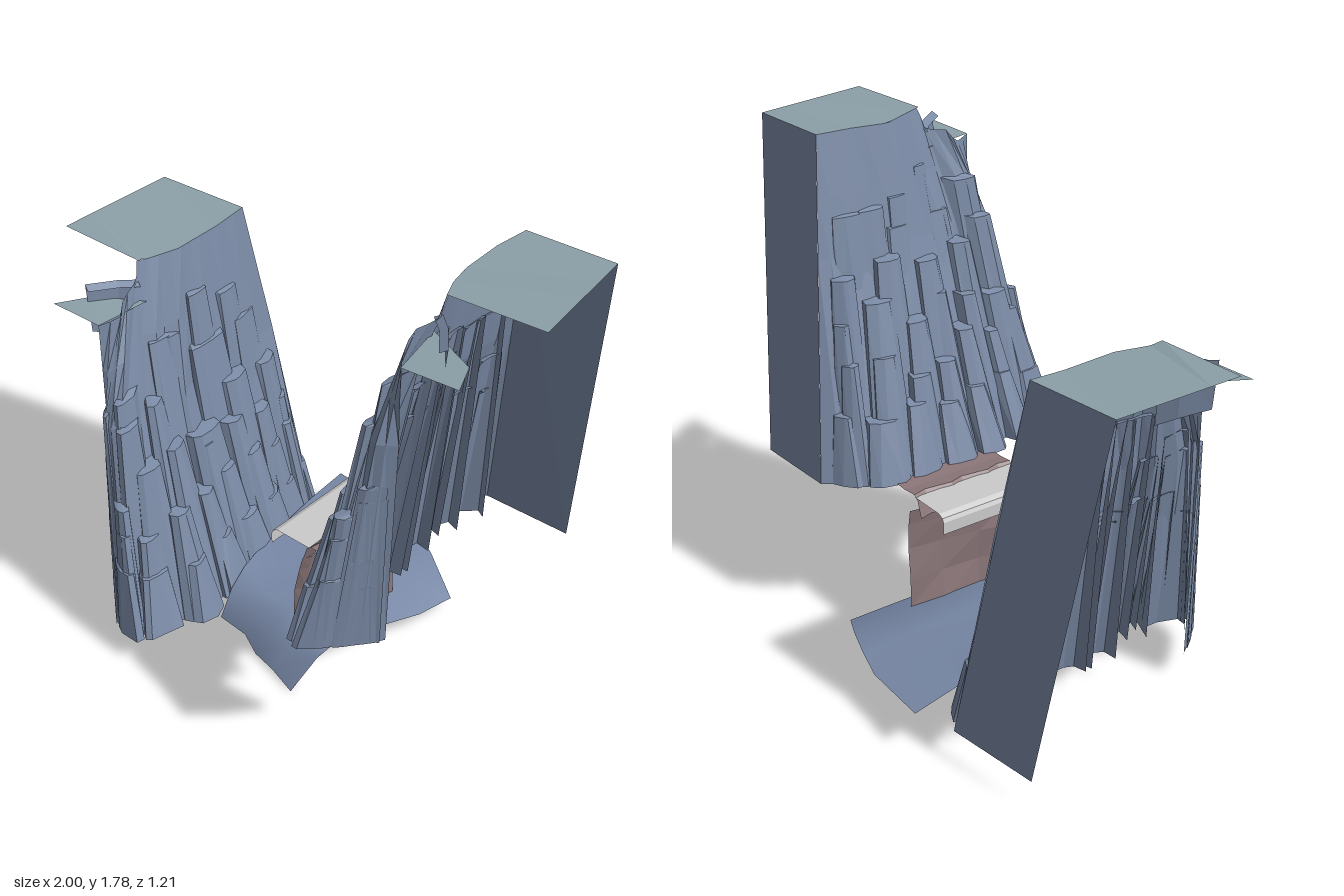
import * as THREE from 'three';

const material = (color) => new THREE.MeshStandardMaterial({ color, side: THREE.DoubleSide, flatShading: true });
const V = (x, y, z) => new THREE.Vector3(x, y, z);
const mix = (a, b, t) => a.clone().lerp(b, t);

const rock = material(0x7b8ba6), turf = material(0x8ca0a8), earth = material(0x8c777a), grey = material(0xcccccc);
const smoothRock = material(0x7686a4);
smoothRock.flatShading = false;

function seeded(seed) {
  return () => {
    seed = (seed * 16807) % 2147483647;
    return seed / 2147483647;
  };
}

// Open sheet through rows of points, all rows of equal length
function sheet(name, rows, mat, parent) {
  const n = rows[0].length, index = [];
  for (let r = 0; r < rows.length - 1; r++) {
    for (let c = 0; c < n - 1; c++) {
      const a = r * n + c;
      index.push(a, a + 1, a + n, a + 1, a + n + 1, a + n);
    }
  }
  const g = new THREE.BufferGeometry().setFromPoints(rows.flat());
  g.setIndex(index);
  g.computeVertexNormals();
  const mesh = new THREE.Mesh(g, mat);
  mesh.name = name;
  parent.add(mesh);
}

// One cliff: eroded rock face, stepped columns, plain end panel, top and ledge
function cliff(name, side, p) {
  const group = new THREE.Group();
  group.name = name;
  const rand = seeded(p.seed);
  const P = (x, y, z) => V(side * x, y, z);
  const curve = (pts) => new THREE.CatmullRomCurve3(pts.map((q) => P(...q)), false, 'centripetal');
  const foot = curve(p.foot.map(([x, z]) => [x, p.y0, z]));
  const shoulder = curve(p.shoulder.map(([x, z]) => [x, p.y1, z]));
  const rim = new THREE.CurvePath();
  for (let i = 1; i < p.rim.length; i++) rim.add(new THREE.LineCurve3(P(...p.rim[i - 1]), P(...p.rim[i])));

  // Point on the slope: t = 0 foot, 1 shoulder, 2 rim
  const slope = (u, t) => t < 1
    ? mix(foot.getPoint(u), shoulder.getPoint(u), t)
    : mix(shoulder.getPoint(u), rim.getPoint(u), t - 1);
  const atHeight = (v, y) => V(v.x, y, v.z);

  // Back wall of the face
  const N = 18, rows = [[], [], [], []];
  for (let i = 0; i <= N; i++) {
    const u = i / N, inner = Math.sqrt(Math.abs(Math.sin(Math.PI * u)));
    const bump = side * (rand() - 0.5) * 0.04 * inner;
    rows[0].push(atHeight(slope(u, 0.3 * inner), p.y0));
    rows[1].push(slope(u, 1));
    rows[2].push(slope(u, 1.5));
    rows[3].push(rim.getPoint(u));
    rows[1][i].x += bump;
    rows[2][i].x += bump * 0.6;
  }
  sheet('rockWall', rows, rock, group);

  // Leaning columns in tiers: [count, inset of foot, height, u start, u end]
  const tiers = [[9, 0, 0.3, 0.01, 0.99], [9, 0.07, 0.52, 0.04, 0.98], [8, 0.16, 0.76, 0.02, 0.99],
    [6, 0.26, 0.98, 0.02, 1], [4, 0.42, 1.35, 0.04, 0.85], [3, 0.55, 1.72, 0.14, 0.55]];
  for (const [count, inset, height, ua, ub] of tiers) {
    for (let i = 0; i < count; i++) {
      const step = (ub - ua) / count;
      const u0 = ua + step * (i + 0.2 * rand());
      const u1 = ua + step * (i + 1 - 0.2 * rand());
      const h = height * (0.8 + 0.32 * rand());
      const push = inset + (rand() - 0.5) * 0.08;
      const y = slope(0.5, Math.min(h, 1)).y + Math.max(0, h - 1) * (p.top - p.y1) * 0.85;
      const pinch = step * 0.12;
      const ring = (yy, front, back, d) => [
        [u0 + d * 0.5, back], [u0 + d, front + 0.05], [u0 + d + step * 0.25, front],
        [u1 - d - step * 0.15, front], [u1 - d, front + 0.06], [u1 - d * 0.5, back],
      ].map(([u, t]) => atHeight(slope(Math.min(u, 1), Math.max(0, t)), yy));
      const topFront = h * 0.86, topBack = Math.min(1.9, h + 0.14);
      const low = ring(p.y0, push, push + 0.25, 0);
      const high = ring(y, topFront, topBack, pinch);
      const cap = ring(y + 0.012, topBack, topBack, pinch);
      sheet('rockColumn', [low, high, cap], rock, group);
    }
  }

  // Plain end panel, roof, ledge and the notch wall between them
  const [a, b, c, d] = p.panel;
  sheet('endPanel', [[P(...a), P(...b)], [P(...d), P(...c)]], rock, group);
  const inner = [0, 1, 2, 3, 4].map((i) => P(...p.rim[i]));
  const outer = inner.map((_, i) => mix(P(...c), P(...p.roofCorner), i / 4));
  sheet('roof', [inner, outer], turf, group);
  sheet('ledge', [[P(...p.ledge[0]), P(...p.ledge[1])], [P(...p.ledge[3]), P(...p.ledge[2])]], turf, group);
  const notch = p.notch.map(([x, z]) => P(x, p.notchTop, z));
  const notchFoot = notch.map((v, i) => V(v.x - side * 0.02, v.y - 0.24 + i * 0.03, v.z));
  const notchLip = notch.map((v) => V(v.x - side * 0.025, v.y - 0.015, v.z + 0.01));
  sheet('notchWall', [notchFoot, notch, notchLip], rock, group);
  return group;
}

export function createModel() {
  const model = new THREE.Group();
  model.name = 'gorge';

  // Tall cliff
  model.add(cliff('tallCliff', 1, {
    seed: 71, y0: 0.58, y1: 1.36, top: 1.78,
    foot: [[0.43, -0.43], [0.3, -0.32], [0.25, -0.17], [0.26, 0], [0.25, 0.15], [0.265, 0.3], [0.34, 0.46],
      [0.42, 0.61], [0.53, 0.53], [0.64, 0.38]],
    shoulder: [[0.55, -0.33], [0.53, -0.24], [0.52, -0.1], [0.53, 0], [0.55, 0.1], [0.56, 0.2], [0.54, 0.28],
      [0.55, 0.37], [0.61, 0.42], [0.67, 0.38]],
    rim: [[0.61, 1.78, -0.28], [0.6, 1.78, -0.15], [0.6, 1.77, 0], [0.63, 1.78, 0.1], [0.66, 1.78, 0.17],
      [0.65, 1.7, 0.18], [0.62, 1.69, 0.27], [0.61, 1.64, 0.29], [0.67, 1.64, 0.385]],
    panel: [[0.43, 0.58, -0.43], [0.76, 0.58, -0.44], [0.93, 1.78, -0.3], [0.61, 1.78, -0.28]],
    roofCorner: [0.995, 1.78, 0.14],
    ledge: [[0.62, 1.64, 0.17], [0.82, 1.645, 0.26], [0.87, 1.645, 0.37], [0.67, 1.64, 0.385]],
    notch: [[0.65, 0.17], [0.71, 0.22], [0.78, 0.31]], notchTop: 1.71,
  }));

  // Low cliff
  model.add(cliff('lowCliff', -1, {
    seed: 433, y0: 0.1, y1: 0.86, top: 1.37,
    foot: [[0.49, -0.52], [0.36, -0.43], [0.34, -0.3], [0.28, -0.18], [0.27, -0.03], [0.25, 0.1], [0.21, 0.3],
      [0.29, 0.44], [0.33, 0.57], [0.46, 0.55], [0.6, 0.38]],
    shoulder: [[0.58, -0.42], [0.56, -0.3], [0.54, -0.2], [0.53, -0.05], [0.53, 0.1], [0.54, 0.2], [0.53, 0.3],
      [0.53, 0.41], [0.58, 0.43], [0.62, 0.38]],
    rim: [[0.64, 1.37, -0.34], [0.63, 1.36, -0.2], [0.62, 1.36, 0], [0.65, 1.36, 0.12], [0.66, 1.37, 0.16],
      [0.65, 1.3, 0.17], [0.62, 1.28, 0.27], [0.6, 1.23, 0.3], [0.62, 1.23, 0.385]],
    panel: [[0.49, 0.1, -0.52], [0.85, 0.1, -0.48], [1, 1.375, -0.31], [0.64, 1.37, -0.34]],
    roofCorner: [1, 1.375, 0.17],
    ledge: [[0.61, 1.23, 0.17], [0.76, 1.235, 0.27], [0.83, 1.235, 0.395], [0.62, 1.23, 0.385]],
    notch: [[0.65, 0.17], [0.7, 0.22], [0.76, 0.31]], notchTop: 1.3,
  }));

  // Valley floor, rows from back to front
  sheet('valleyFloor', [
    [[-0.4, 0.155, -0.61], [-0.13, 0.15, -0.59], [0, 0.15, -0.55], [0.15, 0.13, -0.49], [0.32, 0.06, -0.4]],
    [[-0.37, 0.17, -0.4], [-0.14, 0.15, -0.38], [0, 0.155, -0.35], [0.14, 0.14, -0.31], [0.3, 0.075, -0.24]],
    [[-0.32, 0.18, -0.1], [-0.15, 0.155, -0.1], [0, 0.16, -0.09], [0.12, 0.15, -0.07], [0.25, 0.11, -0.05]],
    [[-0.27, 0.185, 0.08], [-0.14, 0.155, 0.11], [0, 0.165, 0.12], [0.1, 0.16, 0.13], [0.21, 0.13, 0.12]],
    [[-0.25, 0.15, 0.17], [-0.13, 0.13, 0.19], [-0.02, 0.12, 0.21], [0.08, 0.11, 0.22], [0.2, 0.11, 0.21]],
    [[-0.25, 0.05, 0.23], [-0.12, 0.05, 0.24], [-0.05, 0.012, 0.26], [0.05, 0.012, 0.28], [0.165, 0, 0.31]],
  ].map((row) => row.map((q) => V(...q))), smoothRock, model);

  // Grey road slab with a turned-down lip
  const slab = [[0.155, 0.58], [0.01, 0.58], [-0.01, 0.57], [-0.017, 0.555], [-0.017, 0.51]];
  sheet('roadSlab', [0.2, -0.22].map((z) => slab.map(([x, y]) => V(x, y, z))), grey, model);

  // Earth verge curling over from the wall top to the tall cliff
  const verge = [];
  for (let i = 0; i <= 8; i++) {
    const z = 0.2 - i * 0.0525, w = 0.008 * Math.sin(i * 2.1);
    verge.push([V(0.125 + w, 0.51, z), V(0.145 + w, 0.572, z), V(0.165 + w, 0.588, z), V(0.22, 0.583, z),
      V(0.3, 0.587, z)]);
  }
  sheet('earthVerge', verge, earth, model);

  // Retaining wall below the road
  const wallPlan = [[0.07, 0.2, 0.12], [0.11, 0.17, 0.14], [0.14, 0.05, 0.15], [0.16, -0.1, 0.16], [0.19, -0.23, 0.17]];
  sheet('retainingWall', [0, 0.3, 0.6, 0.85, 1].map((t) => wallPlan.map(([x, z, xt]) =>
    V(x + (xt - x) * t + 0.012 * Math.sin(t * 5 + z * 9), 0.12 + 0.4 * t, z))), earth, model);

  return model;
}
